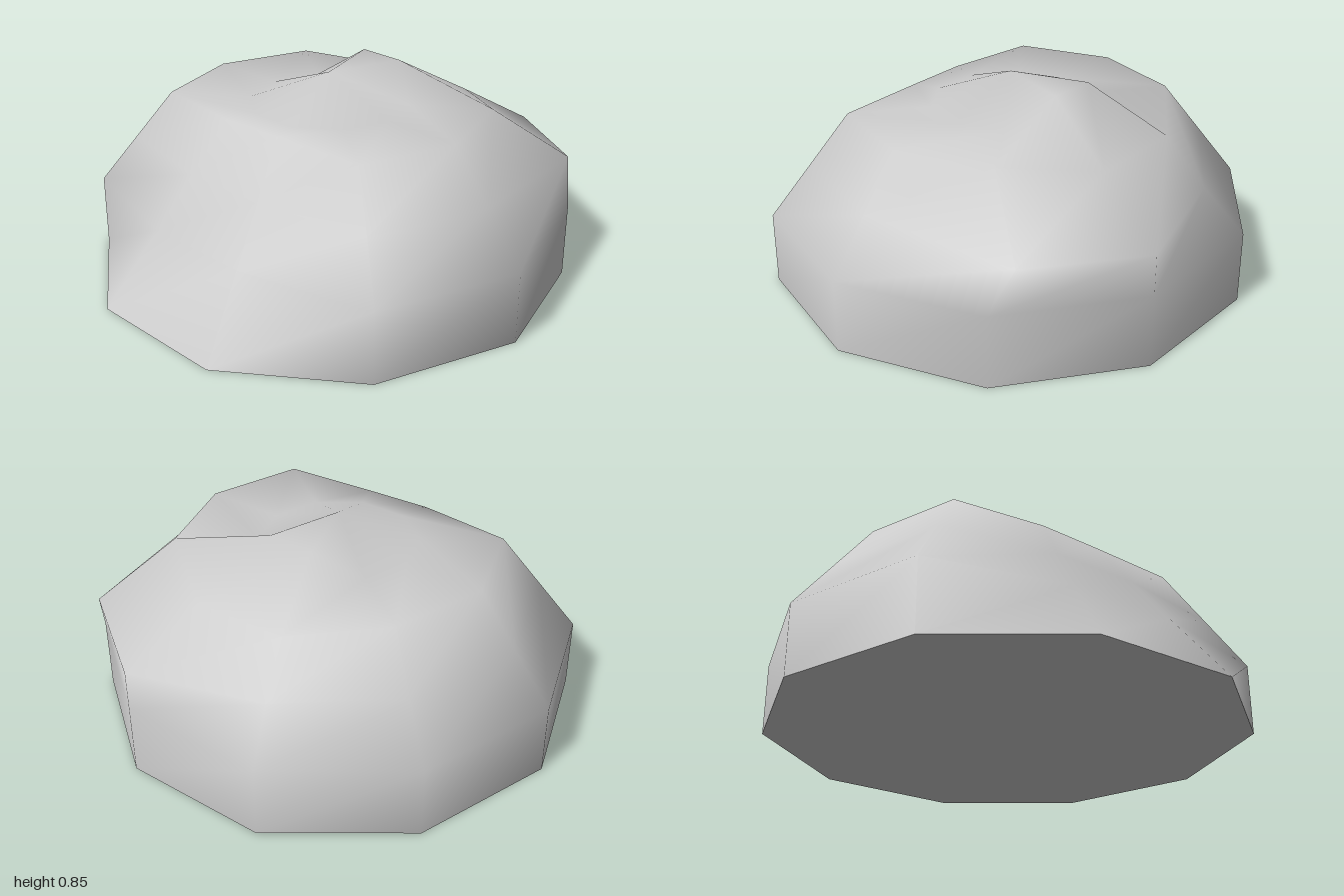
import * as THREE from 'three';

const SIDES = 10;

// Regular dome: [radius, height] of each ring from the ground up
const RINGS = [[1, 0], [1, 0.3], [0.835, 0.51], [0.67, 0.72], [0.33, 0.72]];

// Chipped or bulging corners: 'ring,side' -> position (side 0 is +x, side 2.5 is +z)
const DENTS = {
  // bulge on the +x side
  '2,0': [1, 0.47, 0],
  '2,1': [0.86, 0.49, 0.5],
  '2,9': [0.68, 0.48, -0.48],
  '3,0': [0.67, 0.66, 0],
  '3,9': [0.54, 0.67, -0.39],
  // raised crown
  '4,0': [0.33, 0.845, 0],
  '4,9': [0.27, 0.845, -0.195],
  // sheared -x side
  '1,4': [-0.62, 0.3, 0.45],
  '1,5': [-0.77, 0.3, 0],
  '2,4': [-0.49, 0.51, 0.36],
  '2,5': [-0.615, 0.51, 0],
  '3,4': [-0.36, 0.72, 0.26],
  '3,5': [-0.46, 0.72, 0],
};

function rockGeometry() {
  const positions = [];
  const index = [];
  RINGS.forEach(([r, y], ring) => {
    for (let i = 0; i < SIDES; i++) {
      const a = (i / SIDES) * Math.PI * 2;
      positions.push(...(DENTS[`${ring},${i}`] ?? [r * Math.cos(a), y, r * Math.sin(a)]));
    }
  });
  positions.push(0, 0.845, 0); // peak
  const peak = RINGS.length * SIDES;

  for (let ring = 0; ring < RINGS.length; ring++) {
    for (let i = 0; i < SIDES; i++) {
      const next = (i + 1) % SIDES;
      const low = ring * SIDES + i;
      const lowNext = ring * SIDES + next;
      if (ring === RINGS.length - 1) {
        index.push(low, peak, lowNext);
      } else {
        index.push(low, low + SIDES, lowNext);
        index.push(low + SIDES, lowNext + SIDES, lowNext);
      }
    }
  }

  const geometry = new THREE.BufferGeometry();
  geometry.setAttribute('position', new THREE.Float32BufferAttribute(positions, 3));
  geometry.setIndex(index);
  geometry.computeVertexNormals();
  return geometry;
}

export function createModel() {
  const group = new THREE.Group();
  group.name = 'rock';
  const material = new THREE.MeshStandardMaterial({ color: 0xcccccc });

  // Smooth-shaded stone surface
  const body = new THREE.Mesh(rockGeometry(), material);
  body.name = 'rockBody';
  group.add(body);

  // Flat underside
  const base = new THREE.Mesh(new THREE.CircleGeometry(1, SIDES).rotateX(Math.PI / 2), material);
  base.name = 'rockBase';
  group.add(base);

  return group;
}
